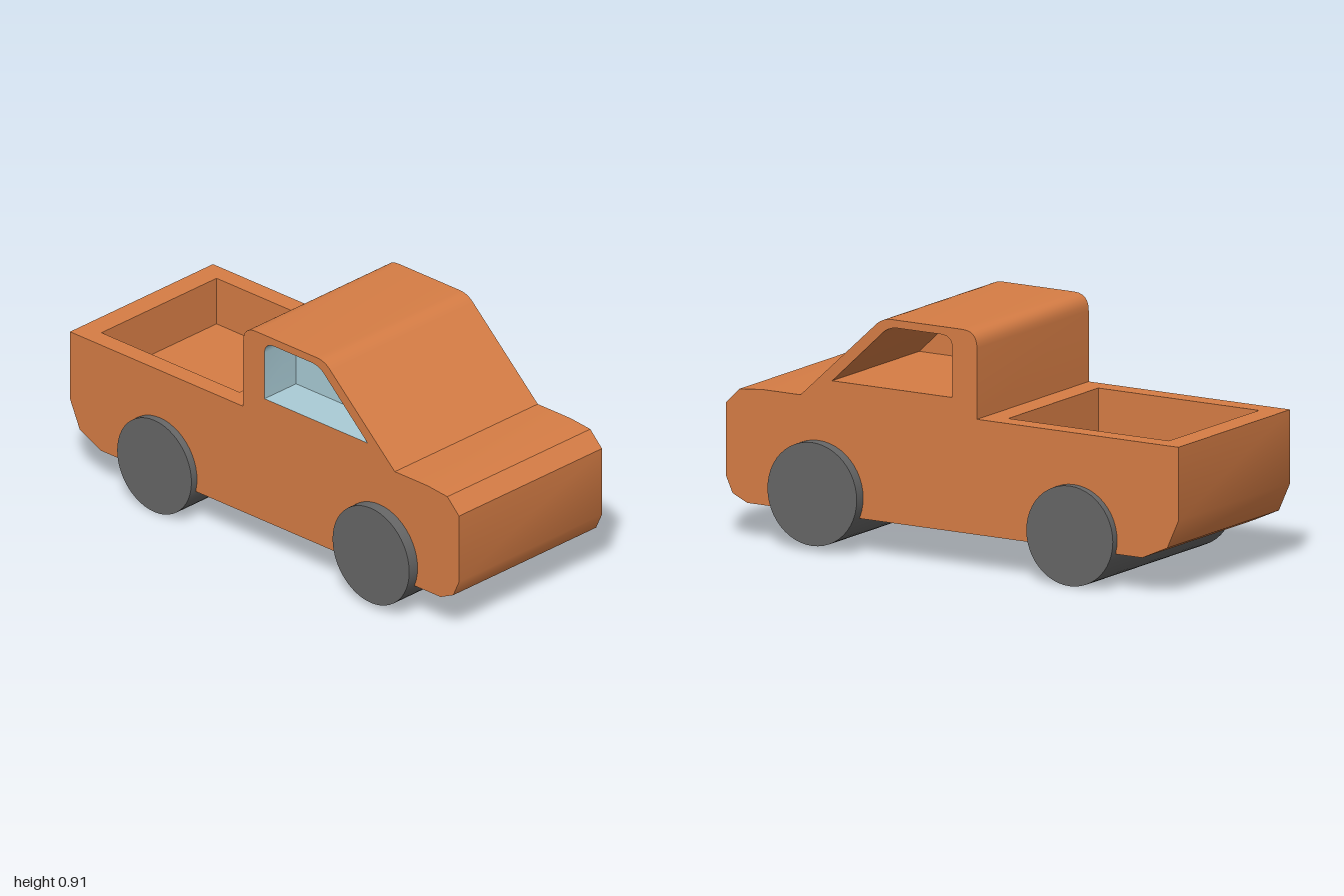
import * as THREE from 'three';
import { toCreasedNormals } from 'three/addons/utils/BufferGeometryUtils.js';

const HALF = 0.385;      // half width of the body
const PANE = -0.215;     // x of the wall between the two window recesses
const BED = { x: 0.31, back: -0.91, front: -0.2, floor: 0.39, top: 0.58 };

const paint = new THREE.MeshStandardMaterial({ color: 0xd67d45 });
const glass = new THREE.MeshStandardMaterial({ color: 0xaaccd6 });
const rubber = new THREE.MeshStandardMaterial({ color: 0x666666 });

// Side outlines are lists of (z, y) points
const v = (z, y) => new THREE.Vector2(z, y);

// Rounded corner from a to b around control point c
const round = (a, c, b) => new THREE.QuadraticBezierCurve(v(...a), v(...c), v(...b)).getPoints(6);

// Walls swept across x along an outline; swap x0 and x1 to face the other way
function strip(points, x0, x1) {
  const pos = [];
  for (let i = 0; i < points.length - 1; i++) {
    const a = points[i], b = points[i + 1];
    const q = [[x0, a.y, a.x], [x1, a.y, a.x], [x1, b.y, b.x], [x0, b.y, b.x]];
    for (const k of [0, 1, 2, 0, 2, 3]) pos.push(...q[k]);
  }
  const g = new THREE.BufferGeometry();
  g.setAttribute('position', new THREE.Float32BufferAttribute(pos, 3));
  return toCreasedNormals(g, 0.5);
}

// Flat side panel at x, facing +x or -x, with an optional hole
function panel(points, x, facing, hole) {
  const flat = (pts) => pts.map((p) => v(-facing * p.x, p.y));
  const shape = new THREE.Shape(flat(points));
  if (hole) shape.holes.push(new THREE.Path(flat(hole)));
  return new THREE.ShapeGeometry(shape).rotateY(facing * Math.PI / 2).translate(x, 0, 0);
}

export function createModel() {
  const model = new THREE.Group();
  model.name = 'pickupTruck';
  const add = (name, geometry, material, parent = model) => {
    const mesh = new THREE.Mesh(geometry, material);
    mesh.name = name;
    parent.add(mesh);
    return mesh;
  };

  // Outline from the foot of the cab, over the roof and nose, to the tail
  const outline = [
    v(-0.11, 0.58),
    ...round([-0.11, 0.85], [-0.11, 0.915], [-0.045, 0.915]),
    ...round([0.27, 0.915], [0.31, 0.915], [0.34, 0.885]),
    v(0.67, 0.58), v(0.84, 0.58), v(0.94, 0.57), v(1, 0.51), v(1, 0.235),
    v(0.97, 0.17), v(0.905, 0.14), v(-0.84, 0.14), v(-0.95, 0.19), v(-1, 0.3), v(-1, 0.58),
  ];
  const sideWindow = [
    v(0, 0.65),
    ...round([0, 0.84], [0, 0.885], [0.05, 0.885]),
    ...round([0.24, 0.885], [0.285, 0.885], [0.315, 0.852]),
    v(0.53, 0.65),
  ];
  const windowLoop = [...sideWindow, sideWindow[0]];

  // Body shell
  const body = new THREE.Group();
  body.name = 'body';
  model.add(body);
  add('bodyShell', strip(outline, HALF, -HALF), paint, body);
  add('leftSide', panel(outline, HALF, 1, sideWindow), paint, body);
  add('rightSide', panel(outline, -HALF, -1, sideWindow), paint, body);

  // Window recesses: a deep painted one on the left, a shallow glazed one on the right
  add('leftWindowRecess', strip(windowLoop, PANE, HALF), paint, body);
  add('leftWindowBack', panel(sideWindow, PANE, 1), paint, body);
  add('rightWindowRecess', strip(windowLoop, -HALF, PANE), glass, body);
  add('rightWindowPane', panel(sideWindow, PANE, -1), glass, body);

  // Cargo bed: rim with an opening, then the sunken tray
  const rect = (x, y0, y1) => [v(-x, y0), v(x, y0), v(x, y1), v(-x, y1)];
  const rim = new THREE.Shape(rect(HALF, 0.11, 1));
  rim.holes.push(new THREE.Path(rect(BED.x, -BED.front, -BED.back)));
  add('bedRim', new THREE.ShapeGeometry(rim).rotateX(-Math.PI / 2).translate(0, BED.top, 0), paint, body);
  const tray = [
    v(BED.back, BED.top), v(BED.back, BED.floor), v(BED.front, BED.floor), v(BED.front, BED.top),
  ];
  add('bedTray', strip(tray, BED.x, -BED.x), paint, body);
  for (const s of [1, -1]) {
    add(s > 0 ? 'bedLeftWall' : 'bedRightWall', panel(tray, s * BED.x, -s), paint, body);
  }

  // Full-width wheel rollers
  const roller = (name, radius, width, y, z) => {
    const g = new THREE.CylinderGeometry(radius, radius, width, 48).rotateZ(Math.PI / 2);
    add(name, g, rubber).position.set(0, y, z);
  };
  roller('frontWheels', 0.197, 0.86, 0.219, 0.59);
  roller('rearWheels', 0.191, 0.83, 0.192, -0.538);

  return model;
}
